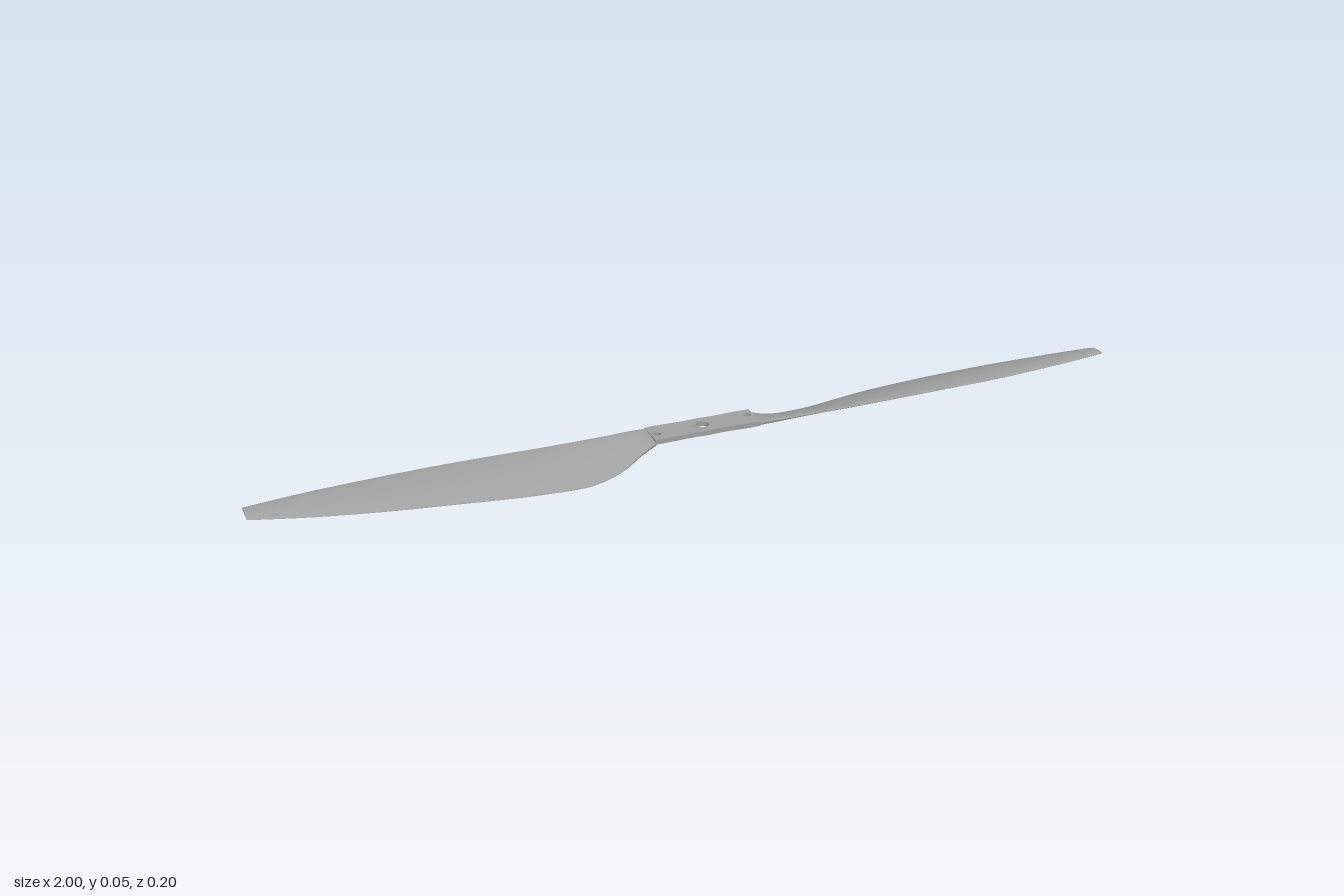
import * as THREE from 'three';

const material = new THREE.MeshStandardMaterial({ color: 0xa0a0a0, side: THREE.DoubleSide });

// Blade stations from root to tip: x, lead z, lead y, trail z, trail y, thickness
const STATIONS = [
  [0.12, 0.033, 0.047, -0.033, 0.043, 0.012],
  [0.16, 0.034, 0.048, -0.044, 0.027, 0.013],
  [0.2, 0.034, 0.048, -0.063, 0.012, 0.012],
  [0.25, 0.034, 0.048, -0.08, 0.003, 0.011],
  [0.3, 0.034, 0.048, -0.091, 0.001, 0.010],
  [0.37, 0.034, 0.048, -0.098, 0.006, 0.009],
  [0.45, 0.034, 0.049, -0.101, 0.012, 0.009],
  [0.58, 0.033, 0.050, -0.097, 0.021, 0.008],
  [0.72, 0.028, 0.050, -0.088, 0.029, 0.007],
  [0.86, 0.017, 0.051, -0.072, 0.037, 0.006],
  [0.98, 0.002, 0.051, -0.052, 0.045, 0.005],
  [1.0, -0.002, 0.051, -0.047, 0.046, 0.004],
];

// Twisted, cambered loft between the leading and trailing edge curves
function bladeGeometry(rows = 88, ring = 32) {
  const curve = (f) => new THREE.CatmullRomCurve3(STATIONS.map(f), false, 'catmullrom', 0.5);
  const lead = curve((s) => new THREE.Vector3(s[0], s[2], s[1]));
  const trail = curve((s) => new THREE.Vector3(s[0], s[4], s[3]));
  const thick = curve((s) => new THREE.Vector3(s[0], s[5], 0));
  const pos = [], index = [];
  for (let i = 0; i <= rows; i++) {
    const t = i / rows;
    const a = lead.getPoint(t), b = trail.getPoint(t), h = thick.getPoint(t).y / 2;
    const root = Math.max(0, 1 - t * 4); // squarer section near the hub
    const power = 0.9 - 0.6 * root;
    const camber = 0.045 * (1 - root) * (a.z - b.z);
    for (let j = 0; j < ring; j++) {
      const angle = (j / ring) * Math.PI * 2;
      const u = (1 - Math.cos(angle)) / 2, s = Math.sin(angle);
      const p = a.clone().lerp(b, u);
      const side = Math.sign(s) * Math.pow(Math.abs(s), power) * h * (1 - 0.3 * u * (1 - root));
      pos.push(p.x, p.y + side + camber * 4 * u * (1 - u), p.z);
    }
  }
  for (let i = 0; i < rows; i++) {
    for (let j = 0; j < ring; j++) {
      const k = (j + 1) % ring, p = i * ring, q = p + ring;
      index.push(p + j, q + j, p + k, p + k, q + j, q + k);
    }
  }
  // Flat tip cap with its own vertices
  const start = pos.length / 3;
  pos.push(...pos.slice(rows * ring * 3));
  for (let j = 1; j < ring - 1; j++) index.push(start, start + j + 1, start + j);
  const geometry = new THREE.BufferGeometry();
  geometry.setAttribute('position', new THREE.Float32BufferAttribute(pos, 3));
  geometry.setIndex(index);
  geometry.computeVertexNormals();
  return geometry;
}

// Slightly waisted hub plate with shaft and mounting holes
function hubGeometry() {
  const shape = new THREE.Shape();
  shape.moveTo(-0.122, -0.033);
  shape.bezierCurveTo(-0.06, -0.035, -0.07, -0.029, 0, -0.033);
  shape.bezierCurveTo(0.07, -0.029, 0.06, -0.035, 0.122, -0.033);
  shape.lineTo(0.122, 0.033);
  shape.bezierCurveTo(0.06, 0.035, 0.07, 0.029, 0, 0.033);
  shape.bezierCurveTo(-0.07, 0.029, -0.06, 0.035, -0.122, 0.033);
  shape.closePath();
  const holes = [[0, 0, 0.014], [0.108, 0.007, 0.008], [-0.108, -0.007, 0.008],
    [0.021, 0, 0.0025], [-0.021, 0, 0.0025]];
  for (const [x, y, r] of holes) {
    shape.holes.push(new THREE.Path().absarc(x, y, r, 0, Math.PI * 2, true));
  }
  const geometry = new THREE.ExtrudeGeometry(shape, { depth: 0.011, bevelEnabled: false, curveSegments: 20 });
  return geometry.rotateX(-Math.PI / 2).translate(0, 0.042, 0);
}

export function createModel() {
  const group = new THREE.Group();
  group.name = 'propeller';

  const hub = new THREE.Mesh(hubGeometry(), material);
  hub.name = 'hub';
  group.add(hub);

  // Two identical blades, half a turn apart
  const geometry = bladeGeometry();
  ['leftBlade', 'rightBlade'].forEach((name, i) => {
    const blade = new THREE.Mesh(geometry, material);
    blade.name = name;
    blade.rotation.y = i * Math.PI;
    group.add(blade);
  });
  return group;
}
